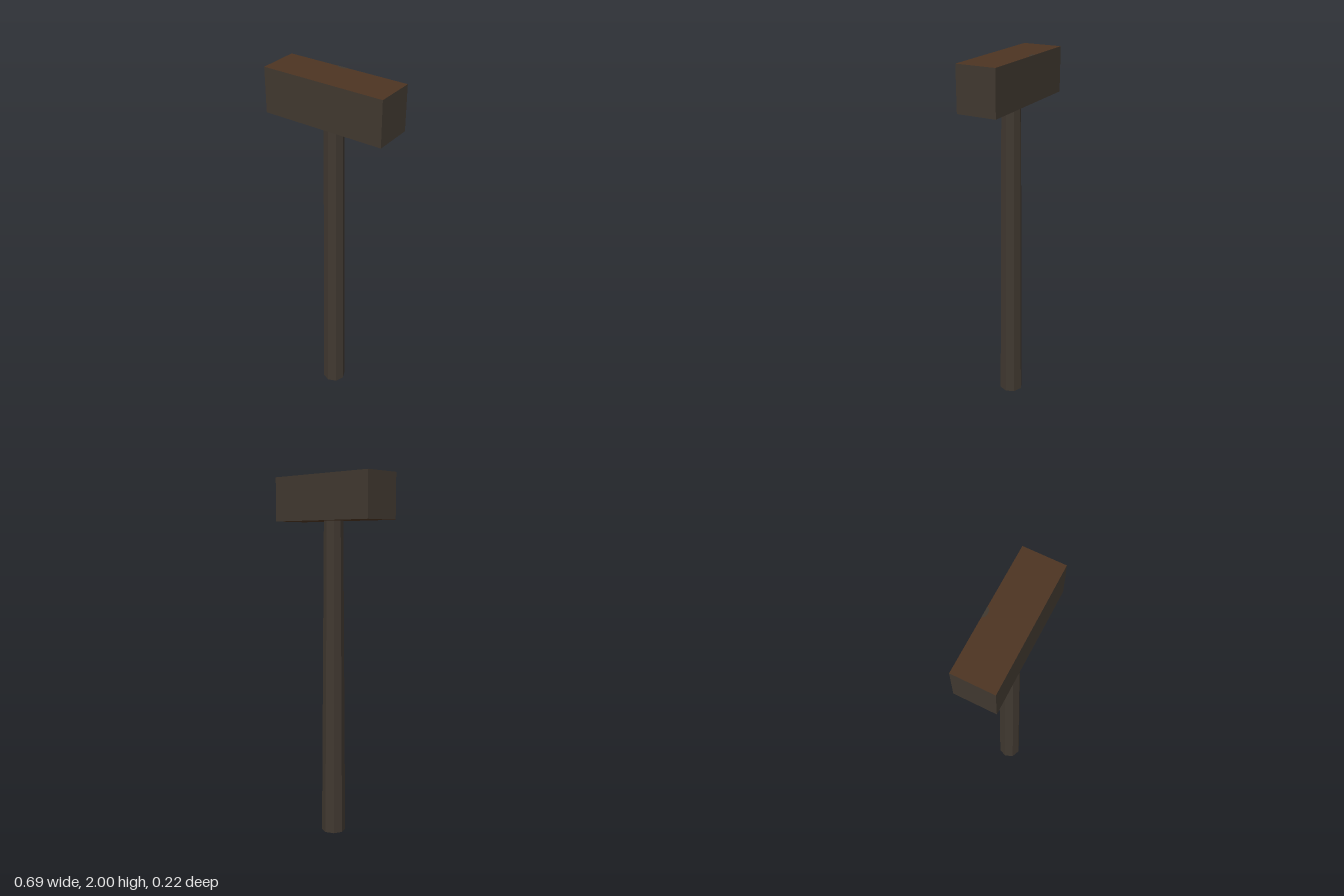
import * as THREE from 'three';

export function createModel() {
  const mat = (name, color) => {
    const m = new THREE.MeshStandardMaterial({ color, flatShading: true });
    m.name = name;
    return m;
  };
  const darkWood = mat('dark grey wood', 0x40382f);
  const brownWood = mat('brown wood', 0x4d3422);
  const shaftWood = mat('shaft wood', 0x403830);

  const model = new THREE.Group();
  model.name = 'mallet';
  const add = (name, geometry, material, x, y, z) => {
    const mesh = new THREE.Mesh(geometry, material);
    mesh.name = name;
    mesh.position.set(x, y, z);
    model.add(mesh);
    return mesh;
  };

  // Block head: dark sides and ends, brown top and underside
  const bottom = 1.757;
  const headHeight = 2 - bottom;
  add('head', new THREE.BoxGeometry(0.687, headHeight, 0.22),
    [darkWood, darkWood, brownWood, brownWood, darkWood, darkWood],
    0, bottom + headHeight / 2, 0);

  // Tapered eight-sided handle
  add('handle', new THREE.CylinderGeometry(0.053, 0.067, bottom, 8),
    [shaftWood, shaftWood, darkWood], 0, bottom / 2, 0);

  // Small dark knot at the back edge of the top
  const knot = new THREE.Shape();
  knot.absellipse(0, 0, 0.028, 0.017, Math.PI, Math.PI * 2);
  add('knot', new THREE.ShapeGeometry(knot, 8), darkWood, -0.024, 2.001, -0.11)
    .rotation.x = -Math.PI / 2;

  return model;
}
